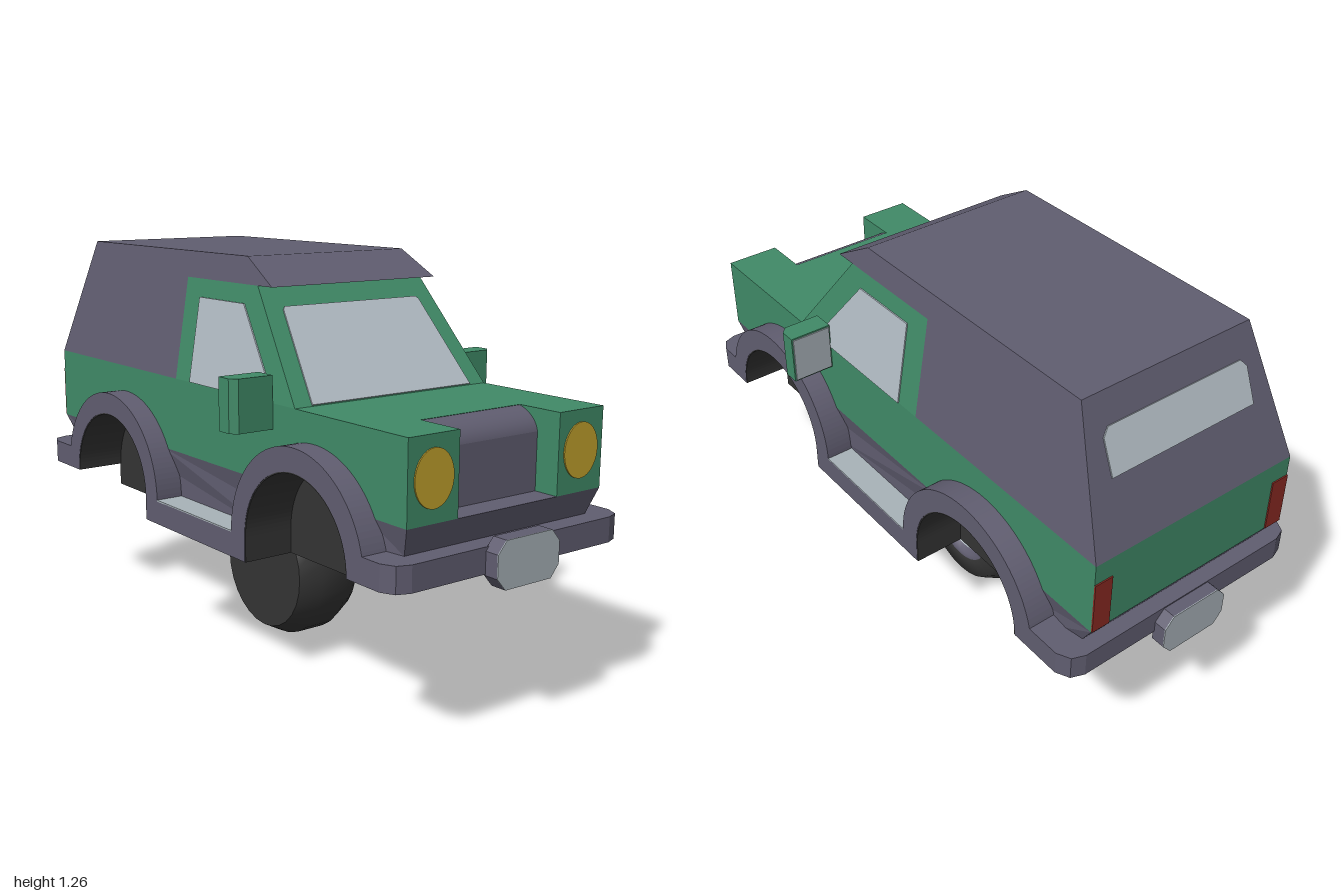
import * as THREE from 'three';

const mat = (name, color, side = THREE.FrontSide) => {
  const m = new THREE.MeshStandardMaterial({ color, side });
  m.name = name;
  return m;
};

export function createModel() {
  const car = new THREE.Group();
  car.name = 'offRoader';
  const green = mat('green paint', 0x408a67);
  const grey = mat('grey trim', 0x605d70);
  const dark = mat('dark rubber', 0x343434, THREE.DoubleSide);
  const glass = mat('pale glass', 0xb2bcc4);
  const silver = mat('silver', 0xa8b2b8);
  const amber = mat('amber lamp', 0xc2a22c);
  const red = mat('red lamp', 0x8a2a22);

  const add = (name, geo, material) => {
    const mesh = new THREE.Mesh(geo, material);
    mesh.name = name;
    car.add(mesh);
    return mesh;
  };
  const poly = (pts) => new THREE.Shape(pts.map(([x, y]) => new THREE.Vector2(x, y)));
  const box = (name, x0, x1, y0, y1, z0, z1, material) => {
    const g = new THREE.BoxGeometry(x1 - x0, y1 - y0, z1 - z0);
    return add(name, g.translate((x0 + x1) / 2, (y0 + y1) / 2, (z0 + z1) / 2), material);
  };
  // side profile extruded from z0 to z1
  const slab = (shape, z0, z1) =>
    new THREE.ExtrudeGeometry(shape, { depth: z1 - z0, bevelEnabled: false, curveSegments: 28 }).translate(0, 0, z0);
  // reshape z as a function of height
  const bendZ = (geo, rule) => {
    const p = geo.attributes.position;
    for (let i = 0; i < p.count; i++) p.setZ(i, rule(p.getY(i), p.getZ(i)));
    geo.computeVertexNormals();
    return geo;
  };
  // slab on both sides of the car
  const both = (name, shape, z0, z1, material, rule = (y, z) => z) => {
    add(name + 'Left', bendZ(slab(shape, z0, z1), rule), material);
    add(name + 'Right', bendZ(slab(shape, -z1, -z0), (y, z) => -rule(y, -z)), material);
  };
  // thin plate lying on a plane given by its axes and origin
  const plate = (name, shape, X, Y, origin, material, depth = 0.006) => {
    const x = new THREE.Vector3(...X), y = new THREE.Vector3(...Y).normalize();
    const m = new THREE.Matrix4().makeBasis(x, y, x.clone().cross(y)).setPosition(...origin);
    const g = new THREE.ExtrudeGeometry(shape, { depth, bevelEnabled: false, curveSegments: 20 });
    return add(name, g.applyMatrix4(m), material);
  };

  const wells = [-0.5, 0.535], axleY = 0.475, rIn = 0.235, rOut = 0.305, wellZ = 0.265;

  // lower green body, with notches over the wheel wells
  box('bodyCentre', -0.96, 0.77, 0.63, 0.865, -0.185, 0.185, green);
  both('bodyInner', poly([[-0.96, 0.63], [0.92, 0.63], [0.92, 0.865], [-0.96, 0.865]]), 0.185, wellZ, green);
  const side = [[-0.96, 0.63]];
  for (const c of wells) side.push([c - 0.22, 0.63], [c - 0.12, 0.73], [c + 0.12, 0.73], [c + 0.22, 0.63]);
  side.push([0.92, 0.63], [0.92, 0.865], [-0.96, 0.865]);
  both('bodySide', poly(side), wellZ, 0.36, green);

  // grille with a rolled top edge
  const grille = poly([[0.77, 0.63], [0.84, 0.63], [0.84, 0.8]]);
  grille.quadraticCurveTo(0.83, 0.845, 0.77, 0.864);
  add('grille', slab(grille, -0.185, 0.185), grey);

  // skirt under the body, drawn in towards the bottom
  const taper = (y, z) => (z > 0.3 ? 0.34 + 0.02 * THREE.MathUtils.clamp((y - 0.55) / 0.08, 0, 1) : z);
  const rearEnd = [[-0.96, 0.63], [-0.91, 0.55], [-0.91, 0.475]];
  const frontEnd = [[0.89, 0.475], [0.89, 0.55], [0.92, 0.63]];
  add('skirtCentre', slab(poly([...rearEnd, ...frontEnd]), -wellZ, wellZ), grey);
  const [r, f] = wells;
  both('skirtRear', poly([...rearEnd, [r - 0.25, 0.475], [r - 0.25, 0.55], [r - 0.22, 0.63]]), wellZ, 0.36, grey, taper);
  both('skirtMiddle', poly([[r + 0.25, 0.475], [f - 0.25, 0.475], [f - 0.25, 0.55], [f - 0.22, 0.63],
    [r + 0.22, 0.63], [r + 0.25, 0.55]]), wellZ, 0.36, grey, taper);
  both('skirtFront', poly([[f + 0.25, 0.475], ...frontEnd, [f + 0.22, 0.63], [f + 0.25, 0.55]]), wellZ, 0.36, grey, taper);

  // floor, sills and side steps
  box('floor', -0.735, 0.77, 0.4, 0.55, -wellZ, wellZ, grey);
  for (const s of [1, -1]) {
    const zs = (a, b) => (s > 0 ? [a, b] : [-b, -a]);
    box('sill', -0.265, 0.3, 0.4, 0.475, ...zs(wellZ, 0.43), grey);
    box('sideStep', -0.195, 0.23, 0.474, 0.479, ...zs(0.34, 0.43), silver);
  }

  // fenders and dark wheel wells
  wells.forEach((c, i) => {
    const arch = new THREE.Shape();
    arch.absarc(c, axleY, rOut, 0, Math.PI, false);
    arch.absarc(c, axleY, rIn, Math.PI, 0, true);
    both('fender', arch, wellZ, 0.43, grey);
    const liner = new THREE.Shape();
    liner.absarc(c, axleY, rIn, 0, Math.PI, false);
    liner.absarc(c, axleY, rIn - 0.004, Math.PI, 0, true);
    both('wellLiner', liner, wellZ, 0.429, dark);
    const inner = i ? c - rIn : c + rIn - 0.004;
    both('wellEnd', poly([[inner, 0.4], [inner + 0.004, 0.4], [inner + 0.004, 0.475], [inner, 0.475]]), wellZ, 0.429, dark);
    const back = new THREE.Shape();
    back.moveTo(c - rIn, 0.4);
    back.lineTo(c + rIn, 0.4);
    back.absarc(c, axleY, rIn, 0, Math.PI, false);
    both('wellWall', back, wellZ, wellZ + 0.003, dark);
  });

  // bumpers with rounded corners, seen in plan
  const bumper = (name, inX, outX, d) => {
    const half = [[inX, 0.43], [outX - d * 0.055, 0.43], [outX - d * 0.015, 0.41], [outX, 0.37]];
    const pts = [...half, ...half.map(([x, z]) => [x, -z]).reverse()];
    const g = new THREE.ExtrudeGeometry(poly(pts), { depth: 0.075, bevelEnabled: false });
    add(name, g.rotateX(-Math.PI / 2).translate(0, 0.475, 0), grey);
  };
  bumper('rearBumper', -0.735, -0.96, -1);
  bumper('frontBumper', 0.77, 0.955, 1);

  // eight-sided bumper pads with a silver face
  const octagon = poly([[-0.085, -0.068], [0.085, -0.068], [0.115, -0.033], [0.115, 0.033],
    [0.085, 0.068], [-0.085, 0.068], [-0.115, 0.033], [-0.115, -0.033]]);
  for (const [name, d, y, x] of [['frontPad', 1, 0.505, 0.95], ['rearPad', -1, 0.478, -0.955]]) {
    const tip = d * 0.997;
    plate(name, octagon, [0, 0, -d], [0, 1, 0], [x, y, 0], grey, Math.abs(tip - x));
    plate(name + 'Face', octagon, [0, 0, -d], [0, 1, 0], [tip, y, 0], silver, 0.003);
  }

  // cabin and hard top, leaning inwards
  const halfWidth = (y) => 0.36 - (y - 0.865) * 0.165;
  const lean = (extra) => (y, z) => Math.sign(z) * (halfWidth(y) + extra);
  const cab = (name, pts, extra, material) =>
    add(name, bendZ(slab(poly(pts), -0.36, 0.36), lean(extra)), material);
  cab('cabin', [[-0.18, 0.865], [0.45, 0.865], [0.2, 1.18], [-0.18, 1.18]], 0, green);
  cab('hardTop', [[-0.96, 0.865], [-0.18, 0.865], [-0.18, 1.18], [0.27, 1.18], [0.13, 1.26], [-0.8, 1.26]], 0, grey);
  cab('sideWindows', [[-0.095, 0.866], [0.3, 0.866], [0.3, 0.935], [0.145, 1.125], [-0.095, 1.125]], 0.004, glass);
  plate('windscreen', poly([[-0.3, 0.003], [0.3, 0.003], [0.258, 0.315], [0.25, 0.325], [-0.25, 0.325], [-0.258, 0.315]]),
    [0, 0, -1], [-0.25, 0.315, 0], [0.45, 0.865, 0], glass, 0.004);
  plate('rearWindow', poly([[-0.255, 0.2], [0.255, 0.2], [0.255, 0.31], [0.235, 0.334], [-0.235, 0.334], [-0.255, 0.31]]),
    [0, 0, 1], [0.16, 0.395, 0], [-0.96, 0.865, 0], glass, 0.004);

  // lamps and door mirrors on each side
  const lamp = new THREE.Shape();
  lamp.absellipse(0, 0, 0.067, 0.08, 0, Math.PI * 2);
  const mirror = poly([[0.275, 0.36], [0.345, 0.36], [0.345, 0.475], [0.325, 0.495], [0.275, 0.495]]);
  for (const s of [1, -1]) {
    plate('headlight', lamp, [0, 0, -1], [0, 1, 0], [0.92, 0.75, s * 0.272], amber, 0.004);
    box('tailLight', -0.964, -0.959, 0.632, 0.8, s * 0.33 - 0.03, s * 0.33 + 0.03, red);
    const g = new THREE.ExtrudeGeometry(mirror, { depth: 0.155, bevelEnabled: false });
    g.rotateX(Math.PI / 2).translate(0, 0.945, 0);
    if (s < 0) g.rotateX(Math.PI).translate(0, 0.79 + 0.945, 0);
    add('mirror', g, green);
    box('mirrorGlass', 0.271, 0.276, 0.795, 0.94, s * 0.4275 - 0.063, s * 0.4275 + 0.063, silver);
  }

  // single wheel under the floor, its hub facing the back
  const wheel = new THREE.Group();
  wheel.name = 'wheel';
  const lathe = (name, pts, material) => {
    const g = new THREE.LatheGeometry(pts.map(([a, b]) => new THREE.Vector2(a, b)), 28);
    const m = new THREE.Mesh(g.rotateX(Math.PI / 2), material);
    m.name = name;
    wheel.add(m);
  };
  lathe('tyre', [[0.12, -0.085], [0.135, -0.115], [0.2, -0.115], [0.235, -0.05], [0.235, 0.05], [0.2, 0.115]], dark);
  lathe('tyreFace', [[0.2, 0.115], [0, 0.115]], dark);
  grey.side = silver.side = THREE.DoubleSide;
  lathe('rim', [[0.105, -0.1], [0.12, -0.116], [0.137, -0.116]], grey);
  lathe('rimDish', [[0.075, -0.06], [0.105, -0.1]], silver);
  lathe('hub', [[0, -0.075], [0.06, -0.075], [0.075, -0.06]], grey);
  wheel.position.set(-0.06, 0.235, 0);
  car.add(wheel);
  return car;
}
